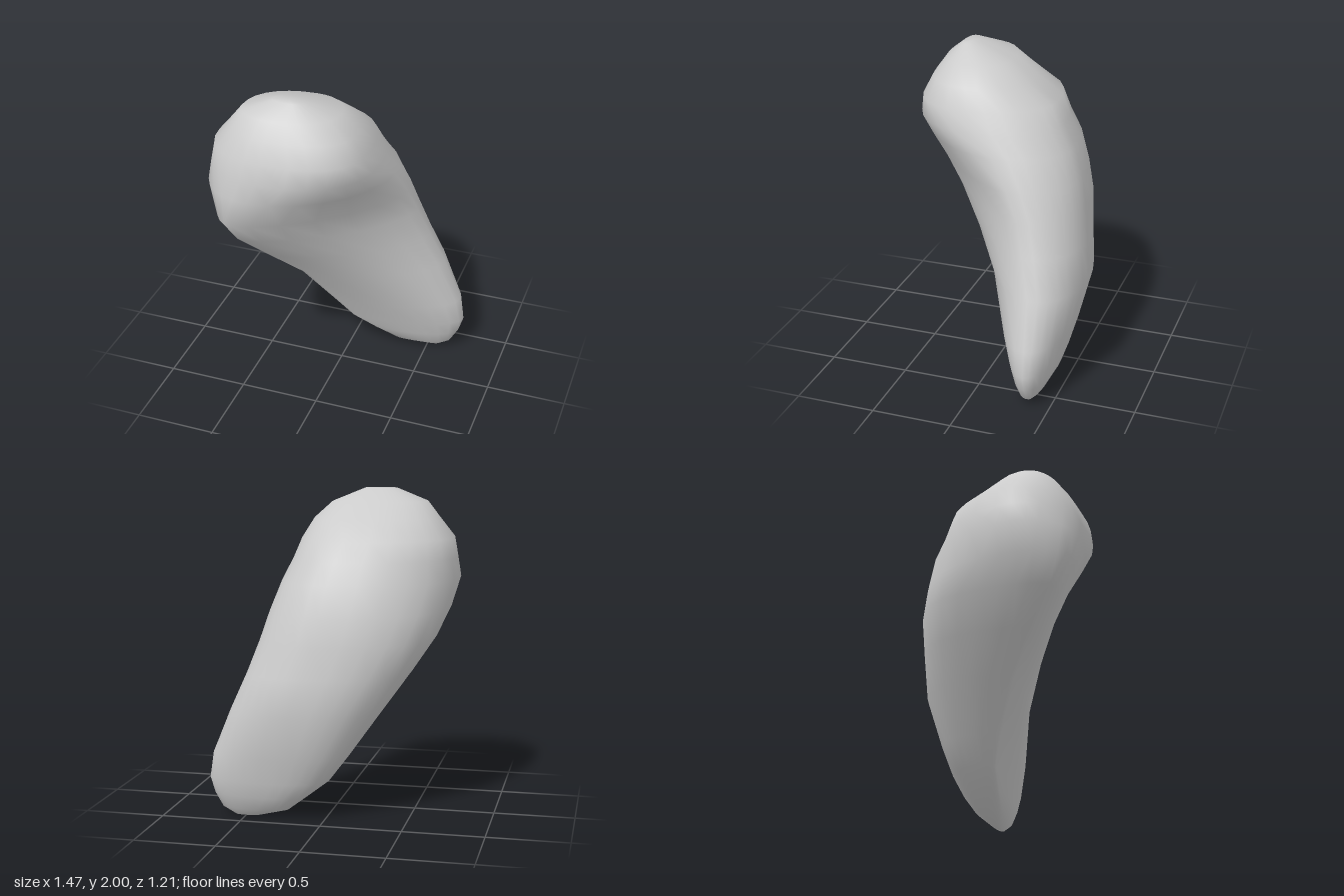
import * as THREE from 'three';

// Horizontal cross-sections from the rounded head down to the thin tail tip:
// [y, left x, left z, front x, front z, right x, right z, back x, back z, inner curve power]
const SECTIONS = [
  [2.00, -0.32, 0.30, -0.20, 0.34, -0.12, 0.28, -0.20, 0.23, 1],
  [1.92, -0.52, 0.28, -0.28, 0.44, 0.07, 0.20, -0.15, 0.00, 0.9],
  [1.82, -0.60, 0.25, -0.30, 0.51, 0.18, 0.20, -0.12, -0.13, 0.8],
  [1.70, -0.70, 0.22, -0.30, 0.57, 0.245, 0.16, -0.10, -0.30, 0.75],
  [1.58, -0.72, 0.22, -0.32, 0.60, 0.285, 0.10, -0.06, -0.36, 0.85],
  [1.45, -0.74, 0.22, -0.38, 0.605, 0.33, -0.03, -0.03, -0.44, 1.1],
  [1.27, -0.69, 0.10, -0.48, 0.60, 0.385, -0.14, 0.00, -0.50, 1.4],
  [1.10, -0.62, -0.08, -0.47, 0.48, 0.43, -0.22, 0.04, -0.535, 1.4],
  [0.90, -0.49, -0.15, -0.36, 0.29, 0.50, -0.28, 0.10, -0.565, 1.3],
  [0.68, -0.335, -0.23, -0.20, 0.09, 0.59, -0.34, 0.18, -0.60, 1.15],
  [0.40, -0.14, -0.32, -0.05, -0.07, 0.705, -0.36, 0.25, -0.54, 1],
  [0.24, -0.02, -0.34, 0.05, -0.15, 0.73, -0.36, 0.30, -0.50, 1],
  [0.14, 0.11, -0.35, 0.20, -0.20, 0.70, -0.36, 0.35, -0.47, 1],
  [0.05, 0.23, -0.36, 0.35, -0.255, 0.65, -0.36, 0.42, -0.42, 1],
  [0.00, 0.42, -0.35, 0.48, -0.33, 0.57, -0.35, 0.50, -0.37, 1],
];
const STEPS = 7; // points per quarter
const RING = STEPS * 4;

// Closed ring of four quarter curves: left, front, right, back
function ring([y, lx, lz, fx, fz, rx, rz, bx, bz, power]) {
  const quarters = [
    [lx, lz, fx, fz, 0.9, true], [fx, fz, rx, rz, power, false],
    [rx, rz, bx, bz, 0.95, true], [bx, bz, lx, lz, 0.9, false],
  ];
  const points = [];
  for (const [ax, az, ex, ez, k, startsAtSide] of quarters) {
    for (let i = 0; i < STEPS; i++) {
      const t = (i / STEPS) * Math.PI / 2;
      const c = 1 - Math.cos(t) ** k, s = Math.sin(t) ** k;
      const u = startsAtSide ? c : s, v = startsAtSide ? s : c;
      points.push(ax + (ex - ax) * u, y, az + (ez - az) * v);
    }
  }
  return points;
}

function loft(sections) {
  const positions = sections.flatMap(ring);
  const index = [];
  for (let r = 0; r < sections.length - 1; r++) {
    for (let i = 0; i < RING; i++) {
      const j = (i + 1) % RING;
      const a = r * RING + i, b = r * RING + j;
      index.push(a + RING, b + RING, a, b + RING, b, a);
    }
  }
  // Close both ends with a fan
  for (const [row, top] of [[0, true], [sections.length - 1, false]]) {
    const [y, lx, , , fz, rx, , , bz] = sections[row];
    const centre = positions.length / 3;
    positions.push((lx + rx) / 2, y, (fz + bz) / 2);
    for (let i = 0; i < RING; i++) {
      const a = row * RING + i, b = row * RING + (i + 1) % RING;
      index.push(centre, top ? a : b, top ? b : a);
    }
  }
  const geometry = new THREE.BufferGeometry();
  geometry.setAttribute('position', new THREE.Float32BufferAttribute(positions, 3));
  geometry.setIndex(index);
  geometry.computeVertexNormals();
  return geometry;
}

export function createModel() {
  const group = new THREE.Group();
  group.name = 'curvedHorn';
  const body = new THREE.Mesh(loft(SECTIONS), new THREE.MeshStandardMaterial({ color: 0xcccccc }));
  body.name = 'body';
  group.add(body);
  return group;
}
